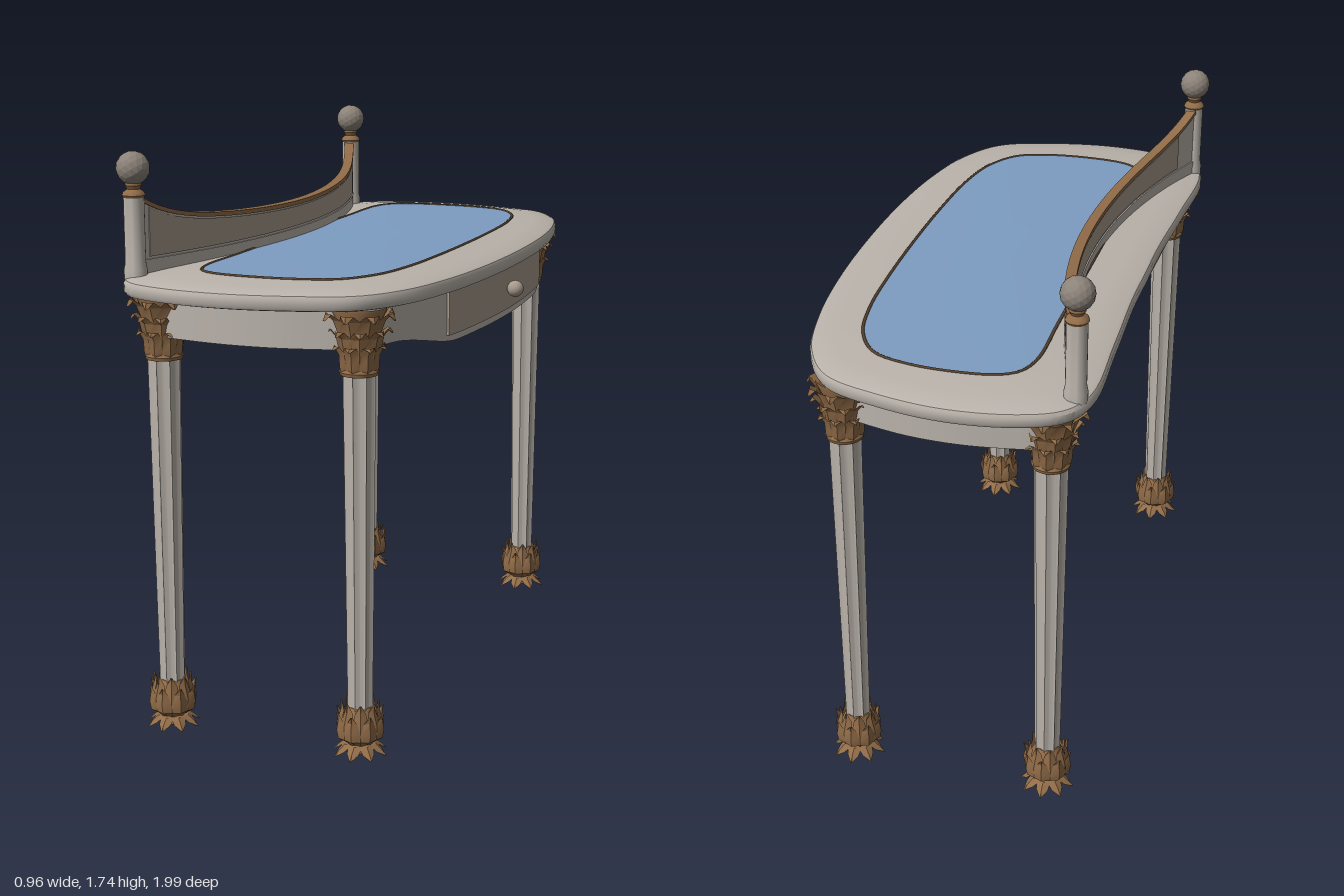
import * as THREE from 'three';
import { toCreasedNormals } from 'three/addons/utils/BufferGeometryUtils.js';

const mat = (name, color, opts = {}) => {
  const m = new THREE.MeshStandardMaterial({ color, ...opts });
  m.name = name;
  return m;
};
const V = (x, y, z) => new THREE.Vector3(x, y, z);

// Closed, z-symmetric curve from half an outline of [x, z] points (front middle to back middle)
function outline(half, y) {
  const other = half.slice(1, -1).reverse().map(([x, z]) => [x, -z]);
  return new THREE.CatmullRomCurve3([...half, ...other].map(([x, z]) => V(x, y, z)), true);
}
const sample = (curve, t0, t1, n) =>
  Array.from({ length: n }, (_, i) => curve.getPoint((t0 + (t1 - t0) * i / n + 1) % 1));

// Surface through a row of cross-sections
function loft(sections, closeU, closeV, crease = 0.6) {
  const nu = sections.length, nv = sections[0].length, index = [];
  for (let i = 0; i < nu - (closeU ? 0 : 1); i++) {
    for (let j = 0; j < nv - (closeV ? 0 : 1); j++) {
      const i2 = (i + 1) % nu, j2 = (j + 1) % nv;
      const a = i * nv + j, b = i2 * nv + j, c = i2 * nv + j2, d = i * nv + j2;
      index.push(a, b, c, a, c, d);
    }
  }
  const g = new THREE.BufferGeometry().setFromPoints(sections.flat());
  g.setIndex(index);
  return toCreasedNormals(g, crease);
}

// Upright wall along a path; outer and inner are offsets to the path's outer side
function wall(path, bottom, top, outer, inner, closed = false) {
  const n = path.length;
  const sections = path.map((p, i) => {
    const a = closed ? path[(i + n - 1) % n] : path[Math.max(i - 1, 0)];
    const b = closed ? path[(i + 1) % n] : path[Math.min(i + 1, n - 1)];
    const t = b.clone().sub(a).setY(0).normalize();
    const at = (o, y) => V(p.x + t.z * o, y, p.z - t.x * o);
    return [at(inner, top(p)), at(outer, top(p)), at(outer, bottom(p)), at(inner, bottom(p))];
  });
  if (!closed) {
    const cap = s => { const c = s[0].clone().add(s[2]).multiplyScalar(0.5); return s.map(() => c.clone()); };
    sections.unshift(cap(sections[0]));
    sections.push(cap(sections[n]));
  }
  return loft(sections, closed, true);
}

// Ridged leaf from [radius, y, half width] stations, pointing along +x
function leaf(stations) {
  const rows = stations.map(([r, y, w]) => [V(r - w * 0.3, y, w), V(r + 0.004, y, 0), V(r - w * 0.3, y, -w)]);
  return loft(rows, false, false, 0.4);
}

export function createModel() {
  const model = new THREE.Group();
  model.name = 'writingDesk';
  const paint = mat('pale grey paint', 0xbab3ab);
  const bronze = mat('bronze', 0x916c48);
  const leafBronze = mat('leaf bronze', 0x916c48, { side: THREE.DoubleSide });
  const tan = mat('greyed tan panel', 0xa69a8c);
  const blue = mat('blue leather', 0x7d9dc2);
  const dark = mat('dark brown edging', 0x54402e);
  const stone = mat('finial grey', 0x8c8379, { flatShading: true });
  const add = (name, geo, m, parent = model) => {
    const mesh = new THREE.Mesh(geo, m);
    mesh.name = name;
    parent.add(mesh);
    return mesh;
  };

  // Table top with softly raised border
  const N = 144;
  const rim = outline([[.46, 0], [.45, .3], [.42, .55], [.365, .76], [.27, .9], [.1, .965], [-.1, .997],
    [-.3, .975], [-.42, .92], [-.472, .82], [-.468, .5], [-.455, .2], [-.455, 0]], 0);
  const inset = outline([[.295, 0], [.29, .28], [.275, .5], [.24, .66], [.17, .765], [.06, .805], [-.08, .815],
    [-.2, .8], [-.255, .765], [-.283, .69], [-.285, .45], [-.285, .2], [-.285, 0]], 1.395);
  const rimPts = sample(rim, 0, 1, N), insetPts = sample(inset, 0, 1, N);
  const profile = [[1, 1.395], [.5, 1.389], [.1, 1.381], [.03, 1.376], [0, 1.366], [0, 1.345], [.03, 1.335], [.12, 1.331]];
  add('tableTop', loft(rimPts.map((p, i) => [
    ...profile.map(([k, y]) => p.clone().lerp(insetPts[i], k).setY(y)), V(0, 1.331, 0)]), true, false), paint);
  add('writingSurface', loft(insetPts.map(p =>
    [V(0, 1.403, 0), V(p.x * .6, 1.401, p.z * .6), p.clone().setY(1.396)]), true, false), blue);
  add('writingSurfaceEdging', new THREE.TubeGeometry(inset, 144, 0.005, 6, true), dark);

  // Apron, dipping lower across the front
  const apron = outline([[.425, 0], [.415, .25], [.39, .47], [.33, .67], [.27, .81], [.1, .875], [-.08, .895],
    [-.25, .88], [-.36, .85], [-.4, .77], [-.405, .5], [-.4, .2], [-.4, 0]], 0);
  const apronBottom = p => p.x > .25
    ? 1.172 + .045 * THREE.MathUtils.smoothstep(Math.abs(p.z), .4, .72)
    : 1.212;
  add('apron', wall(sample(apron, 0, 1, N), apronBottom, () => 1.335, 0, -.03, true), paint);

  // Drawer front and knob
  const drawerPath = sample(apron, -2 / 24, 2 / 24, 40);
  drawerPath.push(apron.getPoint(2 / 24));
  add('drawerFront', wall(drawerPath, () => 1.195, () => 1.328, .008, -.001), tan);
  const stem = add('drawerKnobStem', new THREE.CylinderGeometry(.01, .014, .03, 16), tan);
  stem.rotation.z = -Math.PI / 2;
  stem.position.set(.438, 1.26, 0);
  add('drawerKnob', new THREE.SphereGeometry(.026, 20, 14), tan).position.set(.456, 1.26, 0);

  // Curved back board: body, recessed-look panels, bronze cap
  const boardPath = (half) => Array.from({ length: 49 }, (_, i) => {
    const z = half * (i / 24 - 1);
    return V(-.27 - .165 * (z / .83) ** 2, 0, z);
  });
  const boardTop = p => { const s = p.z / .83; return 1.502 + .045 * s ** 2 + .06 * s ** 8; };
  add('backBoard', wall(boardPath(.83), () => 1.37, boardTop, .011, -.011), paint);
  add('backBoardBase', wall(boardPath(.82), () => 1.37, () => 1.425, .015, -.015), paint);
  add('backBoardFrontPanel', wall(boardPath(.79), () => 1.432, p => boardTop(p) - .008, .014, .01), tan);
  add('backBoardRearPanel', wall(boardPath(.72), () => 1.432, p => boardTop(p) - .008, -.01, -.014), tan);
  add('backBoardCap', wall(boardPath(.825), p => boardTop(p) - .003, p => boardTop(p) + .01, .016, -.016), bronze);

  // Posts with ball finials
  const lathe = (pts, n = 24) => toCreasedNormals(new THREE.LatheGeometry(pts.map(([r, y]) => new THREE.Vector2(r, y)), n), .6);
  const postGeo = lathe([[.034, 1.37], [.034, 1.4], [.03, 1.42], [.03, 1.61], [0, 1.615]]);
  const neckGeo = lathe([[.03, 1.608], [.034, 1.615], [.03, 1.624], [.018, 1.632], [.024, 1.643], [.022, 1.655], [0, 1.66]]);
  const ballGeo = new THREE.IcosahedronGeometry(.049, 2);
  for (const side of [1, -1]) {
    const post = new THREE.Group();
    post.name = side > 0 ? 'leftPost' : 'rightPost';
    post.position.set(-.432, 0, side * .838);
    add('postShaft', postGeo, paint, post);
    add('postNeck', neckGeo, bronze, post);
    add('postBall', ballGeo, stone, post).position.y = 1.692;
    model.add(post);
  }

  // Fluted, tapering leg shaft
  let shaft = new THREE.CylinderGeometry(.051, .039, 1.1, 64, 1, true);
  const pos = shaft.attributes.position;
  for (let i = 0; i < pos.count; i++) {
    const a = Math.atan2(pos.getZ(i), pos.getX(i));
    const k = 1 - .17 * Math.sqrt(Math.abs(Math.sin(a * 4)));
    pos.setXYZ(i, pos.getX(i) * k, pos.getY(i) + .65, pos.getZ(i) * k);
  }
  shaft = toCreasedNormals(shaft, .5);

  // Leaf tiers: [name, count, turn, stations]
  const tiers = [
    ['footSplayedLeaf', 8, 0, [[.025, .04, .014], [.045, .036, .022], [.066, .018, .018], [.08, .003, .002]]],
    ['footInnerPetal', 8, .5, [[.03, .03, .012], [.062, .06, .025], [.064, .1, .026], [.052, .14, .016], [.054, .168, .002]]],
    ['footOuterPetal', 8, 0, [[.03, .035, .012], [.066, .058, .024], [.071, .085, .025], [.066, .115, .015], [.072, .138, .002]]],
    ['capitalLowerLeaf', 8, 0, [[.05, 1.145, .01], [.056, 1.165, .022], [.058, 1.2, .025], [.072, 1.226, .018], [.08, 1.215, .003]]],
    ['capitalMiddleLeaf', 8, .5, [[.05, 1.17, .012], [.057, 1.21, .026], [.066, 1.25, .028], [.084, 1.272, .018], [.092, 1.258, .003]]],
    ['capitalUpperLeaf', 8, 0, [[.052, 1.2, .014], [.06, 1.26, .03], [.076, 1.3, .032], [.098, 1.32, .02], [.106, 1.3, .004]]],
  ].map(([name, n, turn, st]) => ({ name, n, turn, geo: leaf(st) }));
  const footGeo = lathe([[0, .008], [.03, .008], [.034, .04], [.056, .065], [.06, .09], [.046, .13], [.036, .15], [0, .152]]);
  const bellGeo = lathe([[0, 1.14], [.054, 1.14], [.057, 1.15], [.05, 1.162], [.05, 1.23], [.06, 1.285], [.078, 1.325], [.078, 1.333]]);

  // Four legs
  for (const [x, row] of [[.25, 'front'], [-.36, 'back']]) {
    for (const [z, side] of [[.815, 'Left'], [-.815, 'Right']]) {
      const leg = new THREE.Group();
      leg.name = row + side + 'Leg';
      leg.position.set(x, 0, z);
      add('legShaft', shaft, paint, leg);
      add('legFoot', footGeo, bronze, leg);
      add('legCapital', bellGeo, bronze, leg);
      for (const { name, n, turn, geo } of tiers) {
        for (let i = 0; i < n; i++) {
          add(name, geo, leafBronze, leg).rotation.y = (i + turn) / n * Math.PI * 2;
        }
      }
      model.add(leg);
    }
  }
  return model;
}
